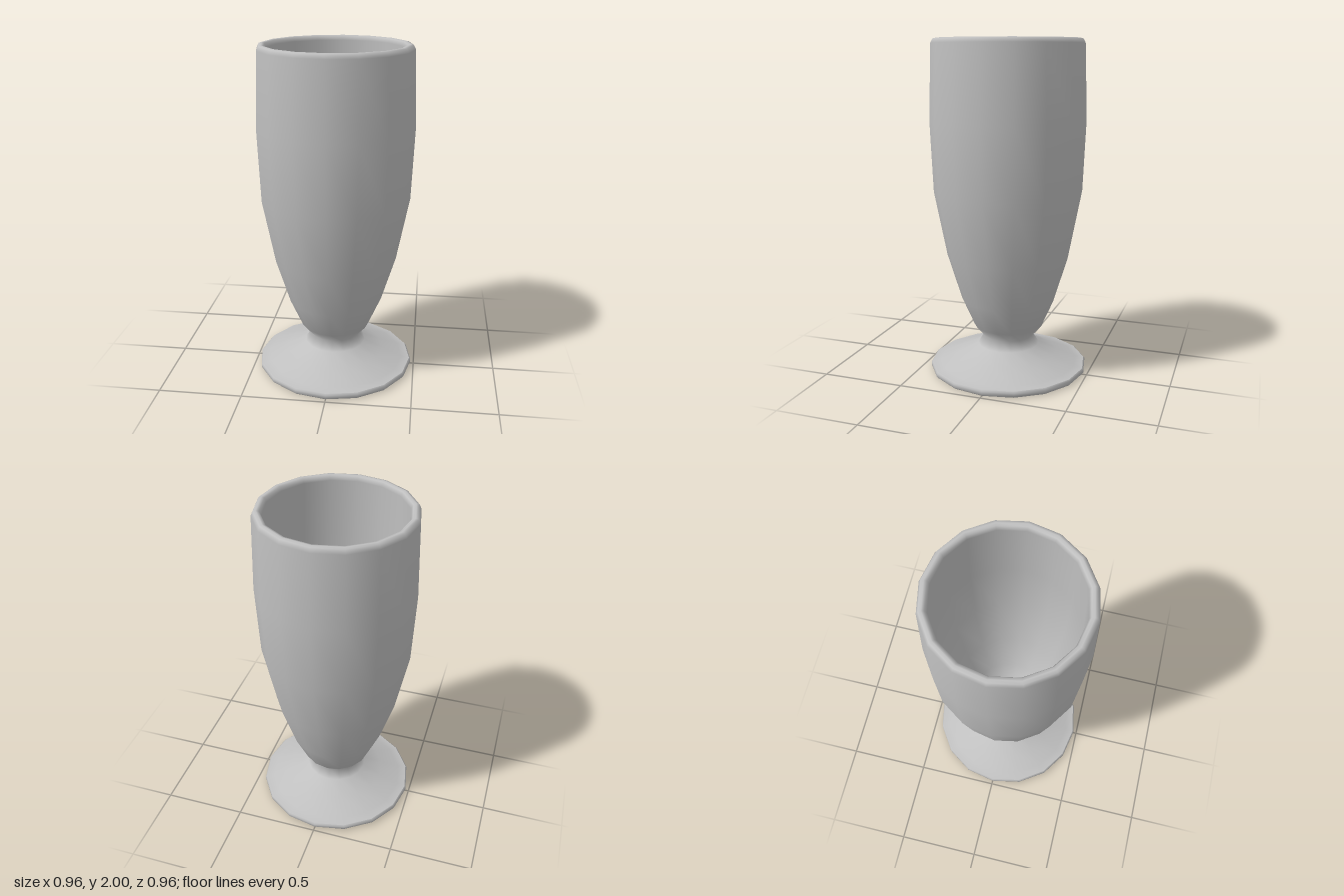
import * as THREE from 'three';

const SIDES = 16;

// Smooth surface of revolution from [radius, height] pairs
function lathe(name, profile, material) {
  const points = profile.map(([r, y]) => new THREE.Vector2(r, y));
  const mesh = new THREE.Mesh(new THREE.LatheGeometry(points, SIDES), material);
  mesh.name = name;
  return mesh;
}

export function createModel() {
  const group = new THREE.Group();
  group.name = 'footedGlass';
  const grey = new THREE.MeshStandardMaterial({ color: 0xc0c0c0 });
  grey.name = 'light grey';

  // Flat underside of the foot
  group.add(lathe('footUnderside', [[0, 0], [0.47, 0]], grey));

  // Rounded edge of the foot
  group.add(lathe('footEdge', [[0.47, 0], [0.48, 0.012], [0.48, 0.03], [0.472, 0.038]], grey));

  // Flared foot, narrow neck and tall bowl, over the lip and down the inside
  group.add(lathe('footAndBowl', [
    [0.472, 0.038], [0.42, 0.046], [0.30, 0.1], [0.187, 0.153], [0.15, 0.208],
    [0.21, 0.275], [0.285, 0.445], [0.37, 0.72], [0.445, 1.106], [0.463, 1.53],
    [0.448, 1.972], [0.436, 1.996], [0.42, 2], [0.404, 1.996], [0.393, 1.972],
    [0.408, 1.53], [0.39, 1.12], [0.32, 0.74], [0.24, 0.48], [0.16, 0.33],
    [0.08, 0.29], [0, 0.28],
  ], grey));

  return group;
}
